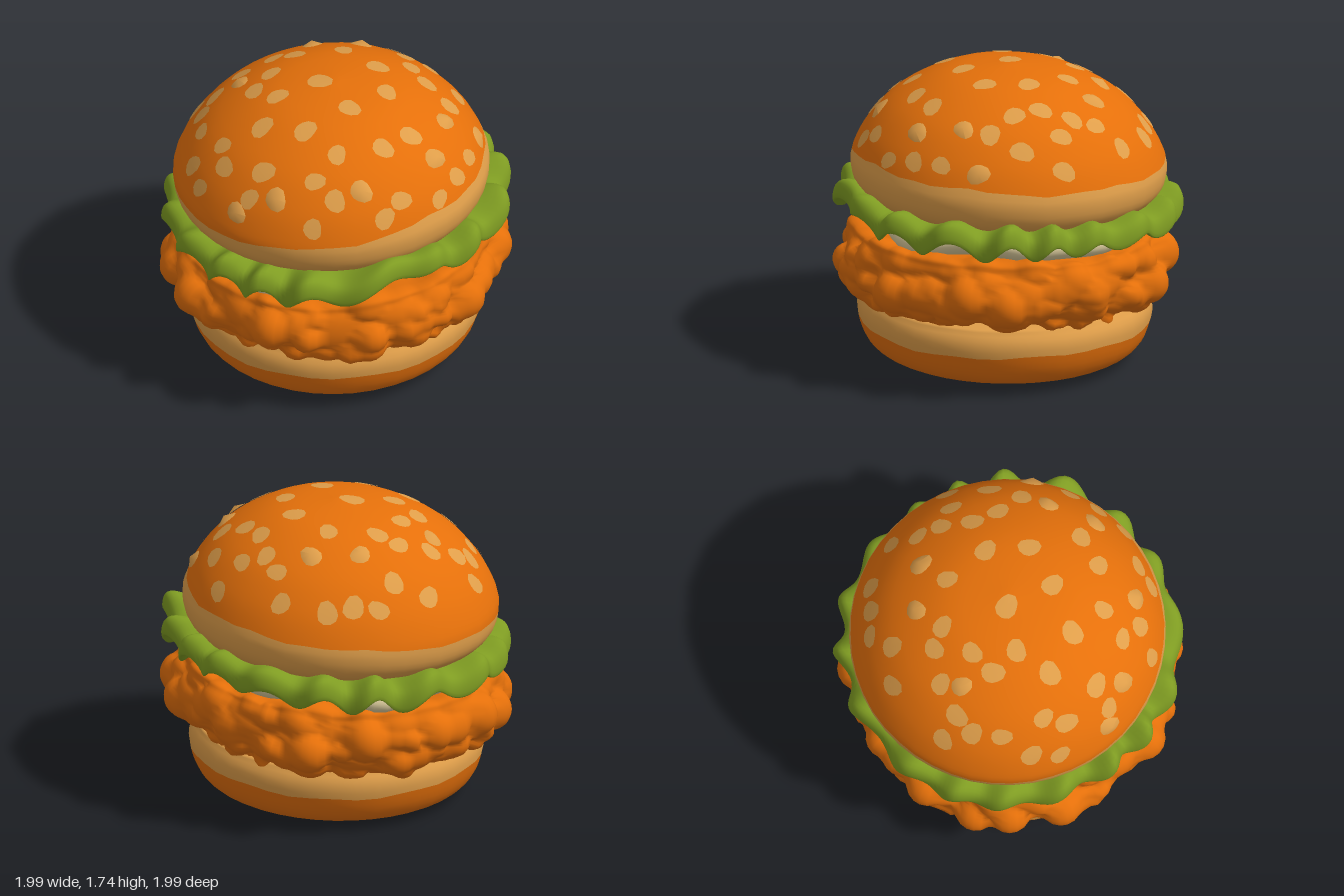
import * as THREE from 'three';
import { mergeGeometries, mergeVertices } from 'three/addons/utils/BufferGeometryUtils.js';
import { ParametricGeometry } from 'three/addons/geometries/ParametricGeometry.js';

const mat = (name, color, extra = {}) => Object.assign(new THREE.MeshStandardMaterial({ color, ...extra }), { name });

// Seeded random numbers
function seeded(seed) {
  return () => {
    seed = (seed * 16807) % 2147483647;
    return seed / 2147483647;
  };
}

// Smooth closed-around surface: f(theta, v, target), v running from the bottom up
function surface(f, around, up) {
  let g = new ParametricGeometry((u, v, p) => f((u % 1) * Math.PI * 2, v, p), around, up);
  g.deleteAttribute('normal');
  g.deleteAttribute('uv');
  g = mergeVertices(g, 1e-5);
  g.computeVertexNormals();
  return g;
}

const profile = (pts) => new THREE.SplineCurve(pts.map(([r, y]) => new THREE.Vector2(r, y)));
const polar = (p, r, theta, y) => p.set(Math.max(r, 0) * Math.sin(theta), y, Math.max(r, 0) * Math.cos(theta));

// Seed positions on the crown as x, z pairs
const SEEDS = [
  [-.07, -.8], [.02, -.68], [-.34, -.75], [.27, -.63], [.13, -.6], [-.13, -.55], [-.58, -.58], [-.46, -.66],
  [.37, -.73], [.5, -.53], [-.59, -.42], [-.37, -.41], [-.14, -.36], [.12, -.28], [.24, -.46], [.38, -.38],
  [.55, -.34], [.71, -.38], [-.75, -.3], [-.38, -.22], [-.5, -.19], [-.63, -.05], [.28, -.09], [.6, -.19],
  [.77, -.16], [-.09, .02], [-.26, .21], [-.43, .17], [-.41, .01], [-.58, .06], [-.83, .11], [-.71, .12],
  [-.73, .24], [.17, .15], [.53, .09], [.68, .08], [.45, .27], [.02, .4], [.25, .45], [-.24, .43],
  [-.44, .53], [.45, .53], [.64, .41], [-.37, .64], [-.11, .66], [.2, .62], [.34, .64], [.02, .75],
  [-.14, .77], [-.65, .39], [-.61, .57], [.79, .02], [.78, .21], [-.2, .82], [.27, .78], [-.5, .69], [.6, .53],
];

export function createModel() {
  const crust = mat('golden crust', 0xe5700a);
  const crumb = mat('pale crumb', 0xdf9e4a);
  const leaf = mat('leaf green', 0x7f9c22, { side: THREE.DoubleSide });
  const cream = mat('cream', 0xdfcf9f);
  const burger = new THREE.Group();
  burger.name = 'burger';
  const add = (name, geometry, material) => {
    const m = new THREE.Mesh(geometry, material);
    m.name = name;
    burger.add(m);
  };

  // Bottom bun, crust below and cut crumb above
  const base = profile([[0, .012], [.5, .012], [.67, .04], [.77, .1], [.82, .2], [.835, .3], [.8, .375], [.7, .41], [0, .41]]);
  const baseSplit = (a) => (4.4 + .1 * Math.sin(3 * a) + .06 * Math.sin(11 * a)) / 8;
  const basePoint = (a, t, p) => {
    const q = base.getPoint(t);
    polar(p, q.x, a, q.y);
    p.y = Math.max(0, p.y + .018 * p.x);
    p.x -= .005;
    p.z -= .01;
  };
  add('bottomBunCrust', surface((a, v, p) => basePoint(a, v * baseSplit(a), p), 40, 12), crust);
  add('bottomBunCrumb', surface((a, v, p) => basePoint(a, baseSplit(a) + v * (1 - baseSplit(a)), p), 40, 10), crumb);

  // Fried patty covered in knobbly lumps, some of them sticking out
  const rand = seeded(4711);
  const patty = profile([[0, .36], [.6, .37], [.78, .41], [.865, .49], [.885, .6], [.845, .71], [.73, .77], [0, .78]]);
  const lumps = [];
  const addLump = (a, t, radius, height) => {
    const q = patty.getPoint(t);
    lumps.push({ c: polar(new THREE.Vector3(), q.x, a, q.y), radius, height });
  };
  for (let i = 0; i < 230; i++) {
    addLump(rand() * Math.PI * 2, .2 + rand() * .64, .06 + rand() * .07, .025 + rand() * .06);
  }
  [[-.3, -.97], [.93, -.43], [.06, .95], [-.89, .36], [-.77, .53], [-.97, .04], [.75, -.62], [-.55, .75], [-.6, -.75], [.97, .1]]
    .forEach(([x, z], i) => addLump(Math.atan2(x, z), .48 + .06 * (i % 3), .13, .115));
  add('friedPatty', surface((a, t, p) => {
    const q = patty.getPoint(t);
    polar(p, q.x, a, q.y);
    let d = 0;
    for (const l of lumps) {
      const k = p.distanceToSquared(l.c) / (l.radius * l.radius);
      if (k < 1) d = Math.max(d, l.height * Math.pow(1 - k, .7));
    }
    const n = new THREE.Vector2(Math.max(q.x - .6, 0), (q.y - .57) * 1.1).normalize();
    polar(p, q.x + n.x * d, a, q.y + n.y * d);
    p.y += .06 * p.x - .015 * p.z;
  }, 150, 64), crust);

  // Sauce with soft drips round the rim
  const sauce = profile([[0, .75], [.6, .75], [.75, .77], [.81, .83], [.78, .9], [.64, .94], [0, .94]]);
  add('creamSauce', surface((a, t, p) => {
    const q = sauce.getPoint(t);
    const wave = Math.sin(5 * a + .4) * .6 + Math.sin(8 * a + 2) * .4;
    const rim = THREE.MathUtils.smoothstep(q.x, .5, .8);
    polar(p, q.x + .045 * wave * rim, a, q.y - .025 * wave * rim);
    p.y += .05 * p.x - .015 * p.z;
    p.x -= .045;
  }, 72, 20), cream);

  // Ruffled lettuce, a folded leaf waving more towards its edge
  const lettuce = profile([[.5, .9], [.74, .905], [.86, .9], [.925, .865], [.955, .865], [.955, .92], [.93, .97], [.86, .99], [.7, .98], [.5, .97]]);
  add('lettuce', surface((a, v, p) => {
    const q = lettuce.getPoint(v);
    const edge = THREE.MathUtils.smoothstep(q.x, .66, .95);
    const phase = 18 * a + 1.1 * Math.sin(2 * a + 1) + .7 * Math.sin(5 * a);
    const size = .85 + .25 * Math.sin(3 * a + 2);
    const lift = .08 * Math.exp(-(((a - .95) / .2) ** 2));
    const r = q.x + edge * (.036 * size * Math.sin(phase + .9) + .012 * Math.sin(4 * a));
    polar(p, r, a, q.y + edge * (.05 * size * Math.sin(phase) + lift));
    p.y += .068 * p.x - .02 * p.z;
    p.x -= .01;
    p.z -= .02;
  }, 228, 24), leaf);

  // Top bun: pale skirt and golden crown meeting along a slanted, uneven line
  const dome = profile([[0, .95], [.6, .94], [.79, .965], [.87, 1.03], [.895, 1.12], [.88, 1.21], [.795, 1.37], [.63, 1.54], [.35, 1.685], [0, 1.735]]);
  const place = (p) => p.set(p.x - .035, p.y + .045 * p.x, p.z - .015);
  const topPoint = (a, t, p) => {
    const q = dome.getPoint(t);
    place(polar(p, q.x, a, q.y));
  };
  const topSplit = (a) => (4.68 + .5 * Math.sin(a) - .28 * Math.cos(a) + .15 * Math.sin(2 * a) + .06 * Math.sin(7 * a) + .04 * Math.sin(17 * a)) / 9;
  add('topBunSkirt', surface((a, v, p) => topPoint(a, v * topSplit(a), p), 48, 14), crumb);
  add('topBunCrown', surface((a, v, p) => topPoint(a, topSplit(a) + v * (1 - topSplit(a)), p), 48, 18), crust);

  // Finds the dome surface in the direction of p, lifted slightly
  const hug = (p, lift) => {
    const a = Math.atan2(p.x, p.z);
    const slope = Math.atan2(p.y - 1, Math.hypot(p.x, p.z));
    let lo = .3, hi = 1;
    for (let i = 0; i < 24; i++) {
      const mid = (lo + hi) / 2, q = dome.getPoint(mid);
      if (Math.atan2(q.y - 1, q.x) < slope) lo = mid; else hi = mid;
    }
    const q = dome.getPoint(lo);
    polar(p, q.x, a, q.y);
    return p.addScaledVector(new THREE.Vector3(p.x, p.y - .7, p.z).normalize(), lift);
  };

  // Sesame seeds: thin patches, every sixth one a raised bump
  const forward = new THREE.Vector3(0, 0, 1);
  const seeds = SEEDS.map(([sx, sz], i) => {
    const x = sx + .035, z = sz + .015, r = Math.min(Math.hypot(x, z), .845);
    let lo = .5, hi = 1;
    for (let k = 0; k < 24; k++) {
      const mid = (lo + hi) / 2;
      if (dome.getPoint(mid).x > r) lo = mid; else hi = mid;
    }
    const c = polar(new THREE.Vector3(), r, Math.atan2(x, z), dome.getPoint(lo).y);
    const turn = new THREE.Quaternion().setFromUnitVectors(forward, new THREE.Vector3(c.x, c.y - .7, c.z).normalize());
    const g = new THREE.CircleGeometry(.056 + .012 * rand(), 11);
    const pos = g.attributes.position, p = new THREE.Vector3(), twist = rand() * 6;
    for (let k = 0; k < pos.count; k++) {
      p.fromBufferAttribute(pos, k);
      const b = Math.atan2(p.y, p.x);
      p.multiplyScalar(1 + .12 * Math.sin(2 * b + twist) + .06 * Math.sin(3 * b + twist));
      p.applyQuaternion(turn).add(c);
      place(hug(p, k === 0 && i % 6 === 5 ? .03 : .004));
      pos.setXYZ(k, p.x, p.y, p.z);
    }
    g.computeVertexNormals();
    return g;
  });
  add('sesameSeeds', mergeGeometries(seeds), crumb);

  return burger;
}
